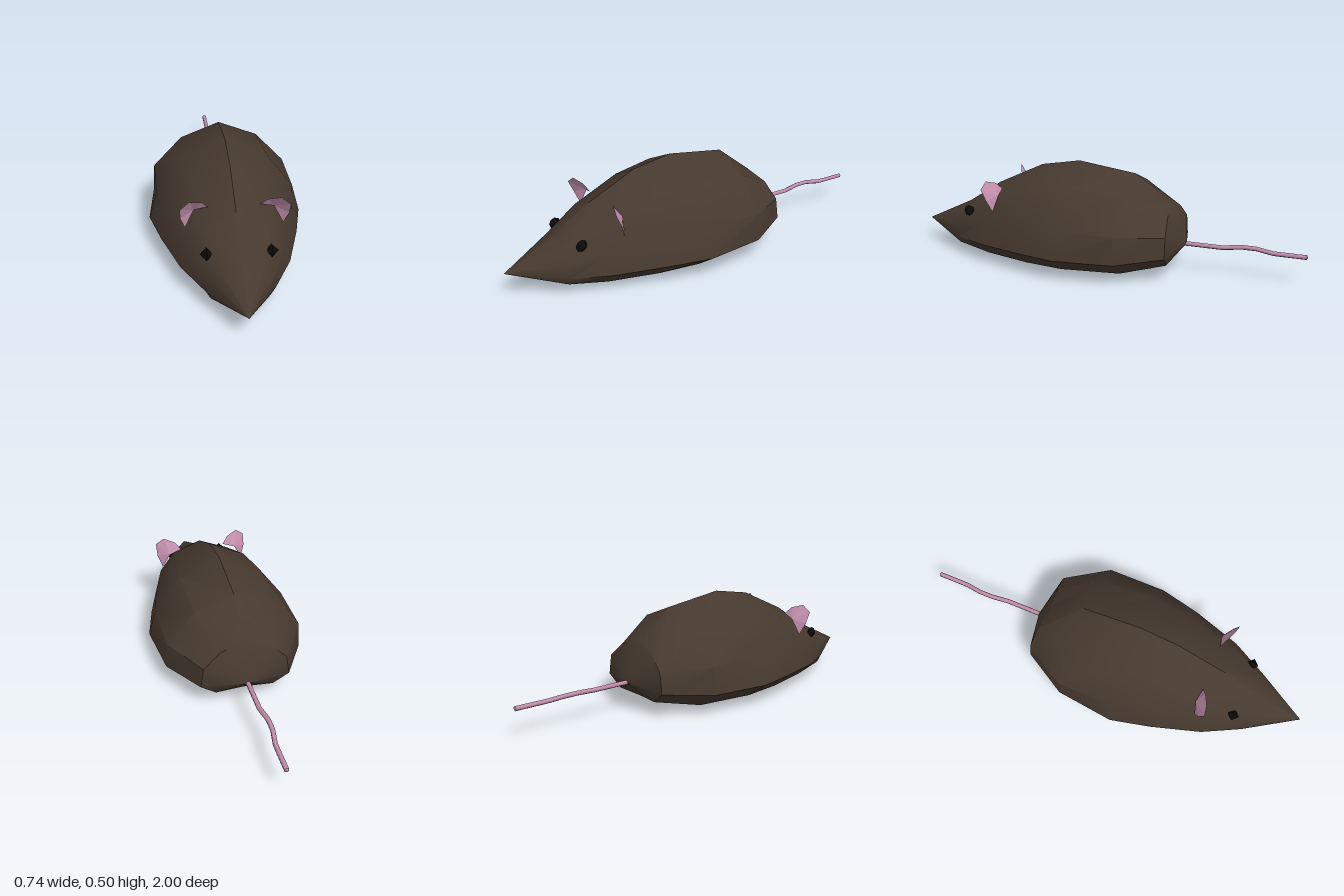
import * as THREE from 'three';
import { toCreasedNormals } from 'three/addons/utils/BufferGeometryUtils.js';

const fur = new THREE.MeshStandardMaterial({ color: 0x46392f });
fur.name = 'brown fur';
const skin = new THREE.MeshStandardMaterial({ color: 0xc48fae, side: THREE.DoubleSide });
skin.name = 'pink skin';
const black = new THREE.MeshStandardMaterial({ color: 0x0a0a0a });
black.name = 'eye black';

function add(group, name, geometry, material) {
  const mesh = new THREE.Mesh(geometry, material);
  mesh.name = name;
  group.add(mesh);
  return mesh;
}

function fromTriangles(points) {
  const geo = new THREE.BufferGeometry();
  geo.setAttribute('position', new THREE.Float32BufferAttribute(points.flat(), 3));
  geo.computeVertexNormals();
  return geo;
}

// Half cross-sections from nose to rump: [z, then x, y from the back ridge round to the belly]
const sections = [
  [0.75, 0, 0.24, 0.1, 0.205, 0.14, 0.15, 0.15, 0.085, 0.13, 0.05, 0, 0.03],
  [0.57, 0, 0.357, 0.15, 0.295, 0.22, 0.2, 0.245, 0.094, 0.16, 0.022, 0, 0.008],
  [0.33, 0, 0.47, 0.18, 0.385, 0.29, 0.225, 0.32, 0.1, 0.22, 0.02, 0, 0.004],
  [0.13, 0, 0.505, 0.2, 0.415, 0.33, 0.24, 0.368, 0.103, 0.25, 0.022, 0, 0],
  [-0.16, 0, 0.465, 0.19, 0.39, 0.33, 0.24, 0.336, 0.105, 0.23, 0.03, 0, 0.015],
  [-0.34, 0, 0.325, 0.12, 0.29, 0.2, 0.22, 0.215, 0.122, 0.14, 0.065, 0, 0.055],
];

function bodyGeometry() {
  const N = 10;
  const rings = sections.map(([z, ...xy]) => {
    const half = [];
    for (let k = 0; k < 6; k++) {
      // the rump section bows backward at its sides
      const bow = z < -0.3 ? 0.16 * xy[2 * k] : 0;
      half.push([xy[2 * k], xy[2 * k + 1], z - bow]);
    }
    const other = half.slice(1, 5).reverse().map(([x, y, w]) => [-x, y, w]);
    return [...half, ...other];
  });
  rings.unshift(Array(N).fill([0, 0.12, 1]));
  rings.push(Array(N).fill([0, 0.14, -0.425]));
  const tris = [];
  for (let i = 0; i < rings.length - 1; i++) {
    for (let k = 0; k < N; k++) {
      const n = (k + 1) % N;
      const a = rings[i][k], b = rings[i][n], c = rings[i + 1][k], d = rings[i + 1][n];
      if (i > 0) tris.push(a, b, c);
      if (i < rings.length - 2 || i === 0) tris.push(b, d, c);
    }
  }
  return toCreasedNormals(fromTriangles(tris), 0.62);
}

// Cupped ear: a fan of facets around a point pushed back into the head
function earGeometry(side) {
  const hub = [0.178, 0.338, 0.492];
  const rim = [
    [0.115, 0.356, 0.503], [0.145, 0.39, 0.523], [0.2, 0.408, 0.548],
    [0.242, 0.376, 0.556], [0.24, 0.32, 0.53], [0.218, 0.26, 0.508],
  ];
  const flip = ([x, y, z]) => [x * side, y, z];
  const tris = [];
  for (let i = 0; i < rim.length - 1; i++) {
    const [p, q] = side > 0 ? [rim[i + 1], rim[i]] : [rim[i], rim[i + 1]];
    tris.push(flip(hub), flip(p), flip(q));
  }
  return fromTriangles(tris);
}

export function createModel() {
  const model = new THREE.Group();
  model.name = 'mouse';
  add(model, 'body', bodyGeometry(), fur);

  for (const [name, side] of [['left', 1], ['right', -1]]) {
    add(model, name + 'Ear', earGeometry(side), skin);
    // Faceted bead: diamond from the front, octagon from the side
    const bead = new THREE.SphereGeometry(0.029, 8, 2).toNonIndexed();
    bead.rotateZ(Math.PI / 2);
    bead.computeVertexNormals();
    const eye = add(model, name + 'Eye', bead, black);
    eye.position.set(0.14 * side, 0.228, 0.682);
  }

  // Thin tail with a gentle kink
  const path = new THREE.CurvePath();
  const pts = [
    [0, 0.138, -0.4], [0, 0.138, -0.6], [-0.013, 0.147, -0.69],
    [-0.013, 0.147, -0.76], [0, 0.138, -0.84], [0, 0.138, -0.995],
  ].map((p) => new THREE.Vector3(...p));
  for (let i = 1; i < pts.length; i++) path.add(new THREE.LineCurve3(pts[i - 1], pts[i]));
  const tail = new THREE.Group();
  tail.name = 'tail';
  add(tail, 'tailShaft', new THREE.TubeGeometry(path, 30, 0.0115, 6), skin);
  const tip = add(tail, 'tailTip', new THREE.ConeGeometry(0.0115, 0.006, 6), skin);
  tip.rotation.x = -Math.PI / 2;
  tip.position.set(0, 0.138, -0.997);
  model.add(tail);
  return model;
}
